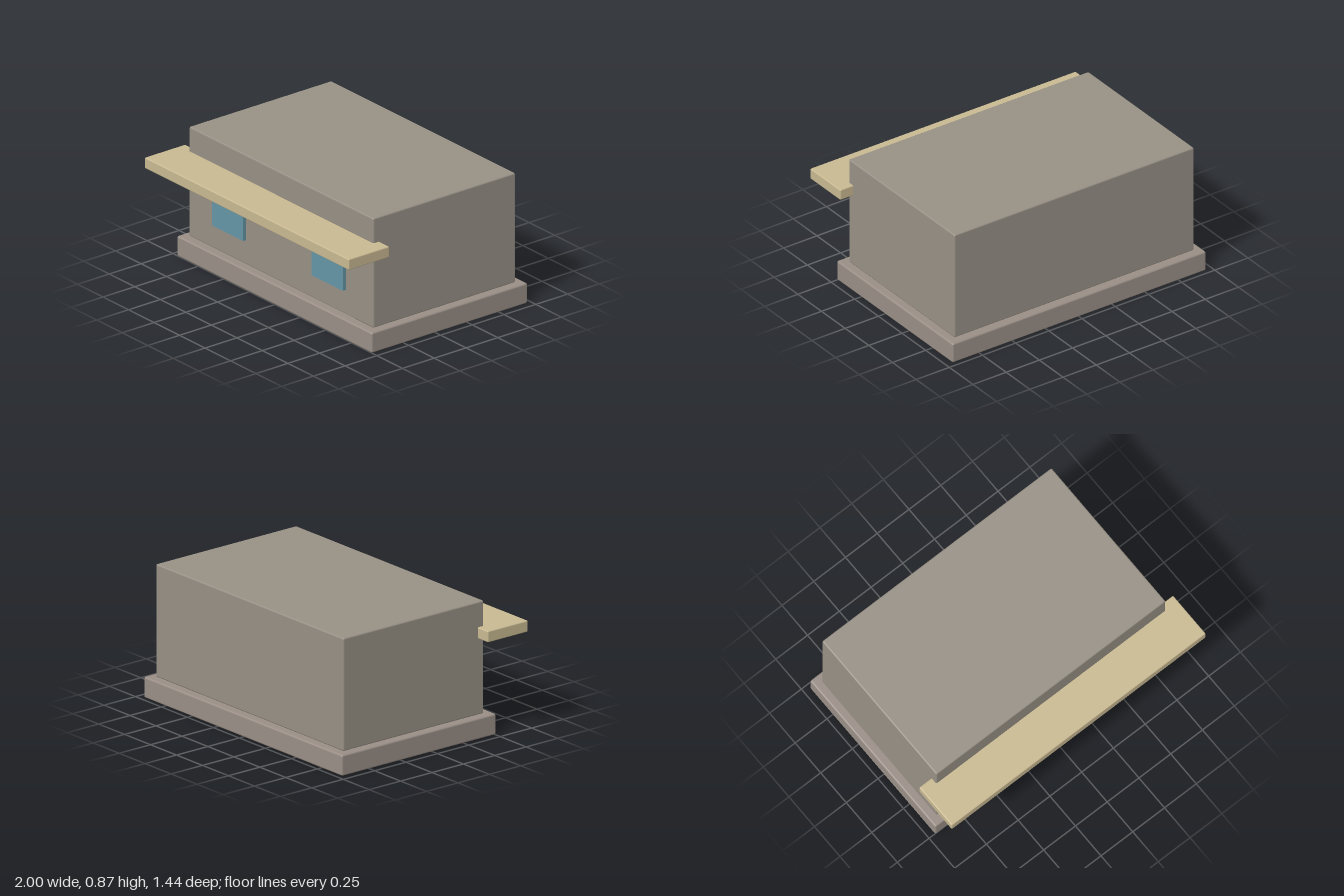
import * as THREE from 'three';
import { RoundedBoxGeometry } from 'three/addons/geometries/RoundedBoxGeometry.js';

function material(name, color) {
  const m = new THREE.MeshStandardMaterial({ color });
  m.name = name;
  return m;
}

// Box given by its extents [min, max]; a radius above zero softens the edges
function block(name, mat, [x0, x1], [y0, y1], [z0, z1], radius = 0) {
  const size = [x1 - x0, y1 - y0, z1 - z0];
  const geometry = radius > 0
    ? new RoundedBoxGeometry(...size, 2, radius)
    : new THREE.BoxGeometry(...size);
  const mesh = new THREE.Mesh(geometry, mat);
  mesh.name = name;
  mesh.position.set((x0 + x1) / 2, (y0 + y1) / 2, (z0 + z1) / 2);
  return mesh;
}

export function createModel() {
  const model = new THREE.Group();
  model.name = 'building';

  const wall = material('wall grey', 0x979085);
  const stone = material('plinth grey', 0x998e86);
  const sand = material('canopy sand', 0xc8b991);
  const glass = material('window blue', 0x6496a5);

  // Plinth, main volume and the canopy across the front
  model.add(
    block('plinth', stone, [-0.955, 0.955], [0, 0.136], [-0.722, 0.505], 0.012),
    block('body', wall, [-0.903, 0.903], [0.136, 0.87], [-0.668, 0.45], 0.01),
    block('canopy', sand, [-1, 1], [0.631, 0.705], [0.402, 0.722], 0.008)
  );

  // Window panes tucked under the canopy
  for (const side of [1, -1]) {
    const centre = side * 0.488;
    model.add(block(side > 0 ? 'leftWindow' : 'rightWindow', glass,
      [centre - 0.154, centre + 0.154], [0.306, 0.64], [0.457, 0.481]));
  }

  return model;
}
